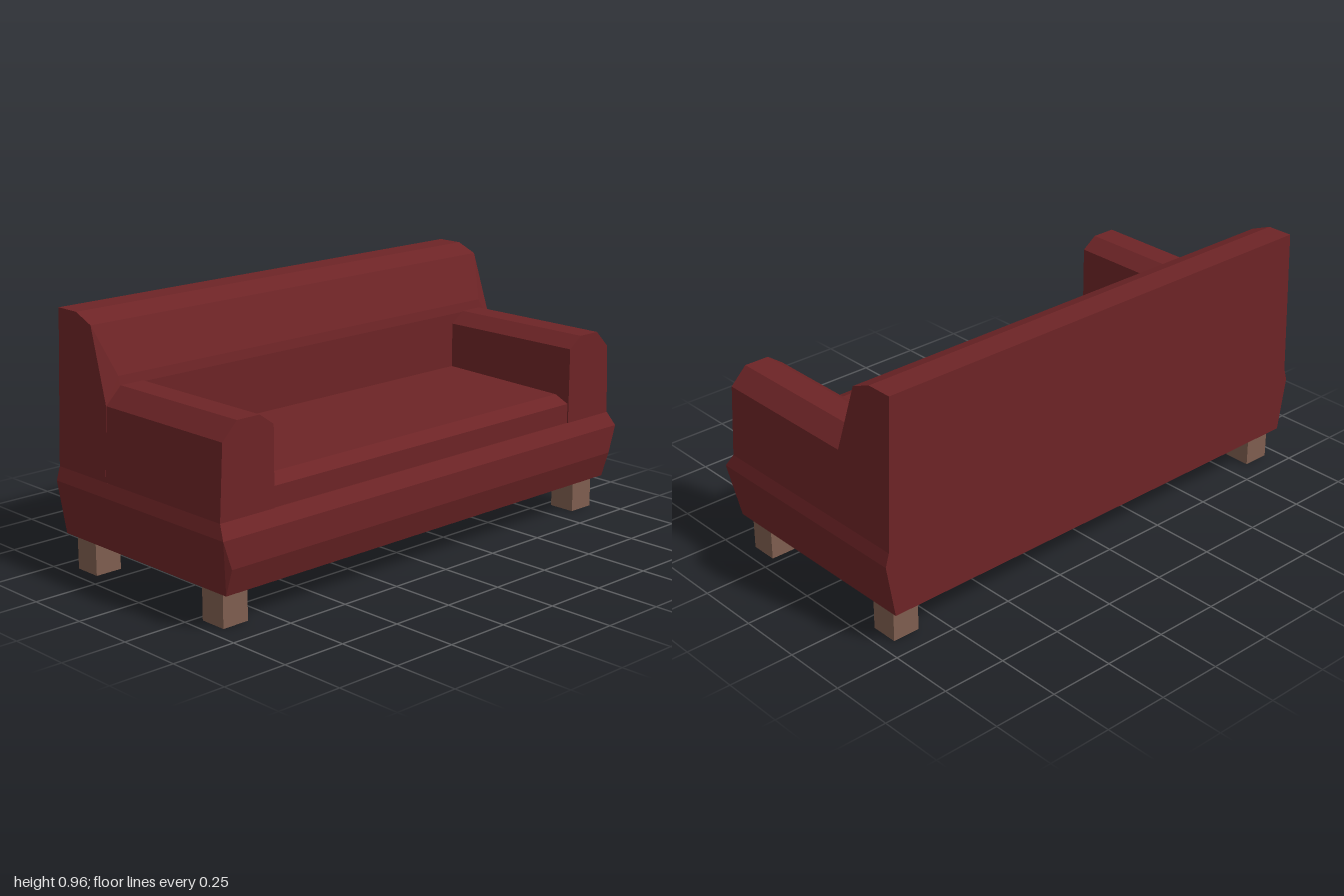
import * as THREE from 'three';
import { ConvexGeometry } from 'three/addons/geometries/ConvexGeometry.js';

// Faceted solid spanning mirrored points: each entry is [halfWidth, y, z]
function mirroredHull(points) {
  const all = [];
  for (const [x, y, z] of points) {
    all.push(new THREE.Vector3(x, y, z), new THREE.Vector3(-x, y, z));
  }
  return new ConvexGeometry(all);
}

export function createModel() {
  const upholstery = new THREE.MeshStandardMaterial({ color: 0x6d2426 });
  upholstery.name = 'dark red upholstery';
  const wood = new THREE.MeshStandardMaterial({ color: 0x7f5e4f });
  wood.name = 'brown wood';

  const sofa = new THREE.Group();
  sofa.name = 'sofa';
  const add = (name, geometry, material) => {
    const mesh = new THREE.Mesh(geometry, material);
    mesh.name = name;
    sofa.add(mesh);
    return mesh;
  };

  // Flared base with a bulging front rail and a flat back
  add('base', mirroredHull([
    [0.965, 0.13, 0.425], [0.965, 0.23, 0.457], [1, 0.335, 0.457], [0.985, 0.385, 0.425],
    [0.965, 0.13, -0.457], [1, 0.335, -0.457], [0.985, 0.385, -0.457],
  ]), upholstery);

  // Sloped backrest with bevelled front corners above the arms
  add('backrest', mirroredHull([
    [0.985, 0.385, -0.457], [0.985, 0.385, -0.187], [0.972, 0.655, -0.187],
    [0.91, 0.715, -0.187], [0.91, 0.75, -0.195],
    [0.963, 0.923, -0.272], [0.962, 0.957, -0.355], [0.962, 0.957, -0.457],
  ]), upholstery);

  // Seat with a rolled front edge
  add('seat', mirroredHull([
    [0.752, 0.38, -0.2], [0.752, 0.5, -0.2], [0.752, 0.487, 0.36],
    [0.752, 0.46, 0.42], [0.752, 0.38, 0.42],
  ]), upholstery);

  for (const side of [-1, 1]) {
    const label = side > 0 ? 'left' : 'right';

    // Armrest with chamfered top edges
    const profile = new THREE.Shape([
      [0.75, 0.38], [0.985, 0.385], [0.97, 0.655], [0.907, 0.718], [0.81, 0.718], [0.75, 0.675],
    ].map(([x, y]) => new THREE.Vector2(side * x, y)));
    const arm = new THREE.ExtrudeGeometry(profile, { depth: 0.625, bevelEnabled: false });
    arm.translate(0, 0, -0.2);
    add(label + 'Armrest', arm, upholstery);

    // Square block legs
    for (const [end, z] of [['Front', 0.332], ['Back', -0.366]]) {
      add(label + end + 'Leg', new THREE.BoxGeometry(0.107, 0.135, 0.107), wood)
        .position.set(side * 0.893, 0.0675, z);
    }
  }
  return sofa;
}
